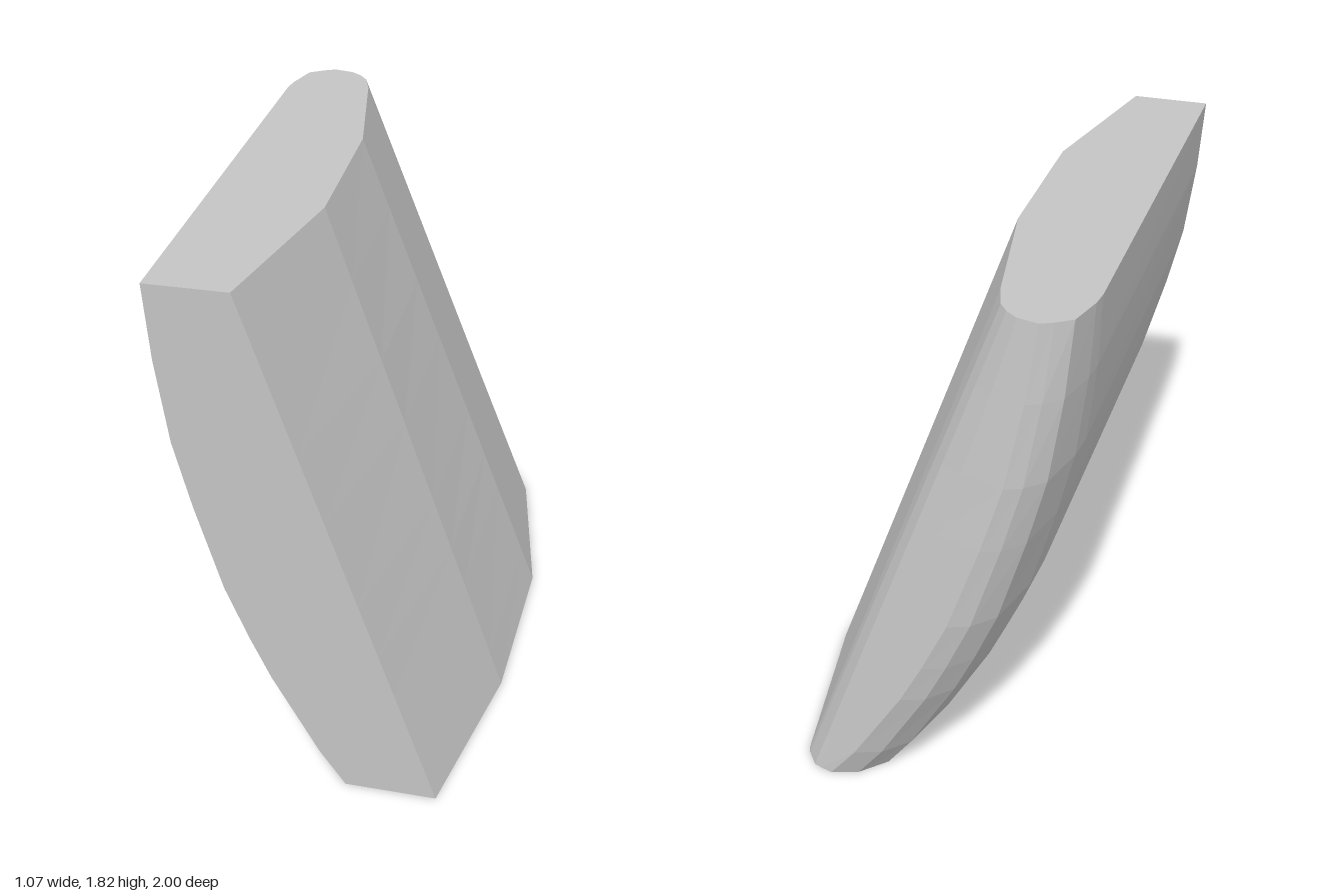
import * as THREE from 'three';

// One outline corner per row, counter-clockwise from above:
// [bottom x, bottom z, top x, top z, sideways bulge weight, rearward bulge weight]
const CORNERS = [
  [0.08, 1, -0.5, 1, 0.95, 0],
  [0.39, 1, -0.23, 1, 0, 0],
  [0.51, 0.38, -0.12, 0.37, 0, 0],
  [0.53, -0.27, -0.14, -0.22, 0, 0],
  [0.41, -0.89, -0.24, -0.72, 0, 0],
  [0.4, -0.91, -0.27, -0.81, 0, 0],
  [0.36, -0.96, -0.3, -0.85, 0, 0],
  [0.33, -0.97, -0.34, -0.88, 0.3, 0.3],
  [0.29, -0.98, -0.41, -0.895, 1, 1],
  [0.2, -0.95, -0.45, -0.875, 1, 1],
  [0.12, -0.87, -0.5, -0.84, 1, 0.8],
  [0.06, -0.66, -0.53, -0.72, 1, 0.3],
  [0.05, -0.5, -0.535, -0.66, 1, 0],
];

// [height, x of the curved side]
const LEVELS = [
  [0, 0.05], [0.13, -0.04], [0.42, -0.2], [0.57, -0.268], [0.76, -0.345],
  [1.06, -0.43], [1.29, -0.485], [1.57, -0.52], [1.82, -0.535],
];
const HEIGHT = 1.82;

function section([y, sideX]) {
  const t = y / HEIGHT;
  const bulge = sideX - THREE.MathUtils.lerp(0.05, -0.535, t);
  return CORNERS.map(([bx, bz, tx, tz, wx, wz]) => [
    THREE.MathUtils.lerp(bx, tx, t) + bulge * wx,
    y,
    THREE.MathUtils.lerp(bz, tz, t) + bulge * wz * 0.37,
  ]);
}

function loftGeometry(rings) {
  const pos = [];
  const tri = (...points) => points.forEach((p) => pos.push(...p));
  const n = CORNERS.length;
  const bottom = rings[0];
  const top = rings[rings.length - 1];
  const middle = (ring) => [0, 1, 2].map((k) => ring.reduce((s, p) => s + p[k], 0) / n);
  const bottomMiddle = middle(bottom);
  const topMiddle = middle(top);

  for (let i = 0; i < n; i++) {
    const j = (i + 1) % n;
    // Side walls
    for (let r = 0; r < rings.length - 1; r++) {
      const a = rings[r];
      const b = rings[r + 1];
      tri(a[i], a[j], b[j]);
      tri(a[i], b[j], b[i]);
    }
    // Flat end caps
    tri(bottomMiddle, bottom[j], bottom[i]);
    tri(topMiddle, top[i], top[j]);
  }
  const geometry = new THREE.BufferGeometry();
  geometry.setAttribute('position', new THREE.Float32BufferAttribute(pos, 3));
  geometry.computeVertexNormals();
  return geometry;
}

export function createModel() {
  const group = new THREE.Group();
  group.name = 'slantedFin';

  const grey = new THREE.MeshStandardMaterial({ color: 0xc4c4c4 });
  grey.name = 'light grey';
  grey.flatShading = true;

  // Leaning body with a blunt front, a rounded rear edge and a curved side
  const body = new THREE.Mesh(loftGeometry(LEVELS.map(section)), grey);
  body.name = 'finBody';
  group.add(body);
  return group;
}
